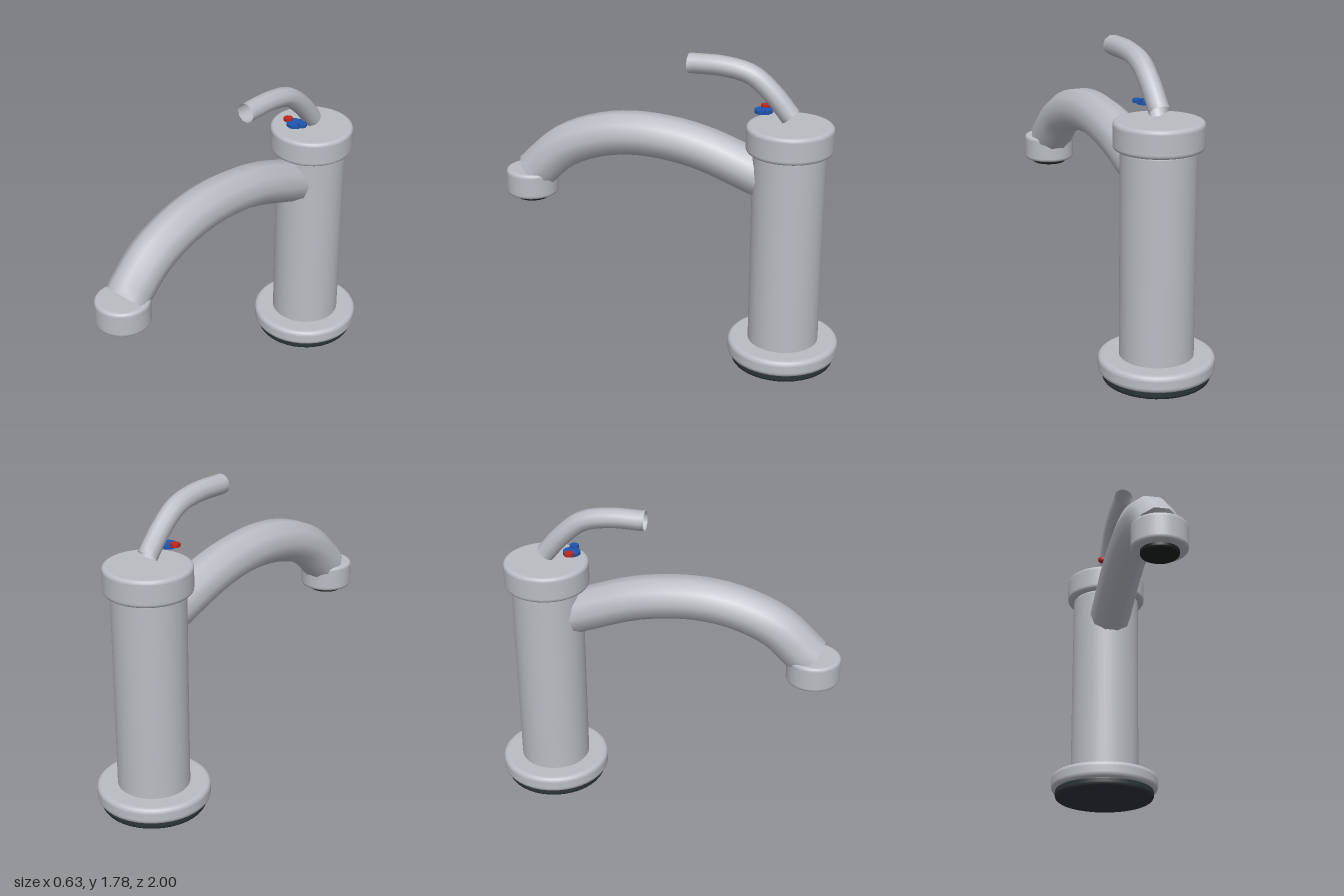
import * as THREE from 'three';

const AXIS_Z = -0.68; // vertical axis of the column
const TIP_Z = 0.85;   // vertical axis of the outlet

export function createModel() {
  const model = new THREE.Group();
  model.name = 'faucet';

  const material = (name, color, side = THREE.FrontSide) => {
    const m = new THREE.MeshStandardMaterial({ color, side });
    m.name = name;
    return m;
  };
  const chrome = material('chrome', 0xb9bdc3, THREE.DoubleSide);
  const rubber = material('dark rubber', 0x2c3538);
  const black = material('black mesh', 0x1e2020);
  const red = material('hot red', 0xc0281c);
  const blue = material('cold blue', 0x1f55b0);

  const add = (name, geometry, mat, x = 0, y = 0, z = 0) => {
    const mesh = new THREE.Mesh(geometry, mat);
    mesh.name = name;
    mesh.position.set(x, y, z);
    model.add(mesh);
    return mesh;
  };

  // Solid disc or cylinder with rounded rims, turned from a short profile
  const rounded = (r, y0, y1, b, sides = 40) => {
    const e = 0.002;
    const pts = [[0, y0], [r - b - e, y0]];
    for (let i = 0; i <= 4; i++) {
      const a = (i / 4) * Math.PI / 2;
      pts.push([r - b + b * Math.sin(a), y0 + b - b * Math.cos(a)]);
    }
    pts.push([r, y0 + b + e], [r, y1 - b - e]);
    for (let i = 0; i <= 4; i++) {
      const a = (i / 4) * Math.PI / 2;
      pts.push([r - b + b * Math.cos(a), y1 - b + b * Math.sin(a)]);
    }
    pts.push([r - b - e, y1], [0, y1]);
    return new THREE.LatheGeometry(pts.map(p => new THREE.Vector2(...p)), sides);
  };

  // Open ten-sided pipe through [z, y] points in the centre plane
  const pipe = (points, r, steps) => {
    const curve = new THREE.CatmullRomCurve3(points.map(([z, y]) => new THREE.Vector3(0, y, z)));
    const frames = 10;
    const pos = [], index = [];
    for (let i = 0; i <= steps; i++) {
      const p = curve.getPointAt(i / steps);
      const t = curve.getTangentAt(i / steps);
      for (let j = 0; j < frames; j++) {
        const a = (j / frames) * Math.PI * 2;
        const up = Math.sin(a) * r;
        pos.push(Math.cos(a) * r, p.y + up * t.z, p.z - up * t.y);
        if (i < steps) {
          const k = (j + 1) % frames, u = i * frames, v = u + frames;
          index.push(u + j, u + k, v + j, u + k, v + k, v + j);
        }
      }
    }
    const g = new THREE.BufferGeometry();
    g.setAttribute('position', new THREE.Float32BufferAttribute(pos, 3));
    g.setIndex(index);
    g.computeVertexNormals();
    return g;
  };

  // Base and column
  add('baseGasket', rounded(0.293, 0, 0.06, 0.018), rubber, 0, 0, AXIS_Z);
  add('baseFlange', rounded(0.317, 0.045, 0.14, 0.025), chrome, 0, 0, AXIS_Z);
  add('column', rounded(0.202, 0.1, 1.285, 0.015), chrome, 0, 0, AXIS_Z);
  add('columnCap', rounded(0.24, 1.28, 1.43, 0.02), chrome, 0, 0, AXIS_Z);

  // Arched spout, starting inside the column
  add('spout', pipe([
    [-0.58, 1.1], [-0.45, 1.15], [-0.2, 1.24], [0, 1.28],
    [0.22, 1.29], [0.43, 1.255], [0.64, 1.165], [0.825, 0.995],
  ], 0.125, 24), chrome);

  // Outlet
  add('outletCollar', rounded(0.15, 0.86, 1.01, 0.018), chrome, 0, 0, TIP_Z);
  add('outletMesh', rounded(0.102, 0.835, 0.88, 0.01), black, 0, 0, TIP_Z);

  // Curved lever handle, open at both ends
  add('handle', pipe([
    [-0.68, 1.475], [-0.58, 1.593], [-0.46, 1.69], [-0.31, 1.725], [-0.105, 1.727],
  ], 0.056, 20), chrome);

  // Temperature markers under the handle
  const MARK_Z = -0.527;
  add('markerPlate', new THREE.CylinderGeometry(0.05, 0.05, 0.018, 12), blue, 0, 1.495, MARK_Z);
  for (const [name, mat, x] of [['hotMarker', red, -0.052], ['coldMarker', blue, 0.052]]) {
    add(name, new THREE.CylinderGeometry(0.027, 0.027, 0.018, 8), mat, x, 1.507, MARK_Z);
  }

  return model;
}
